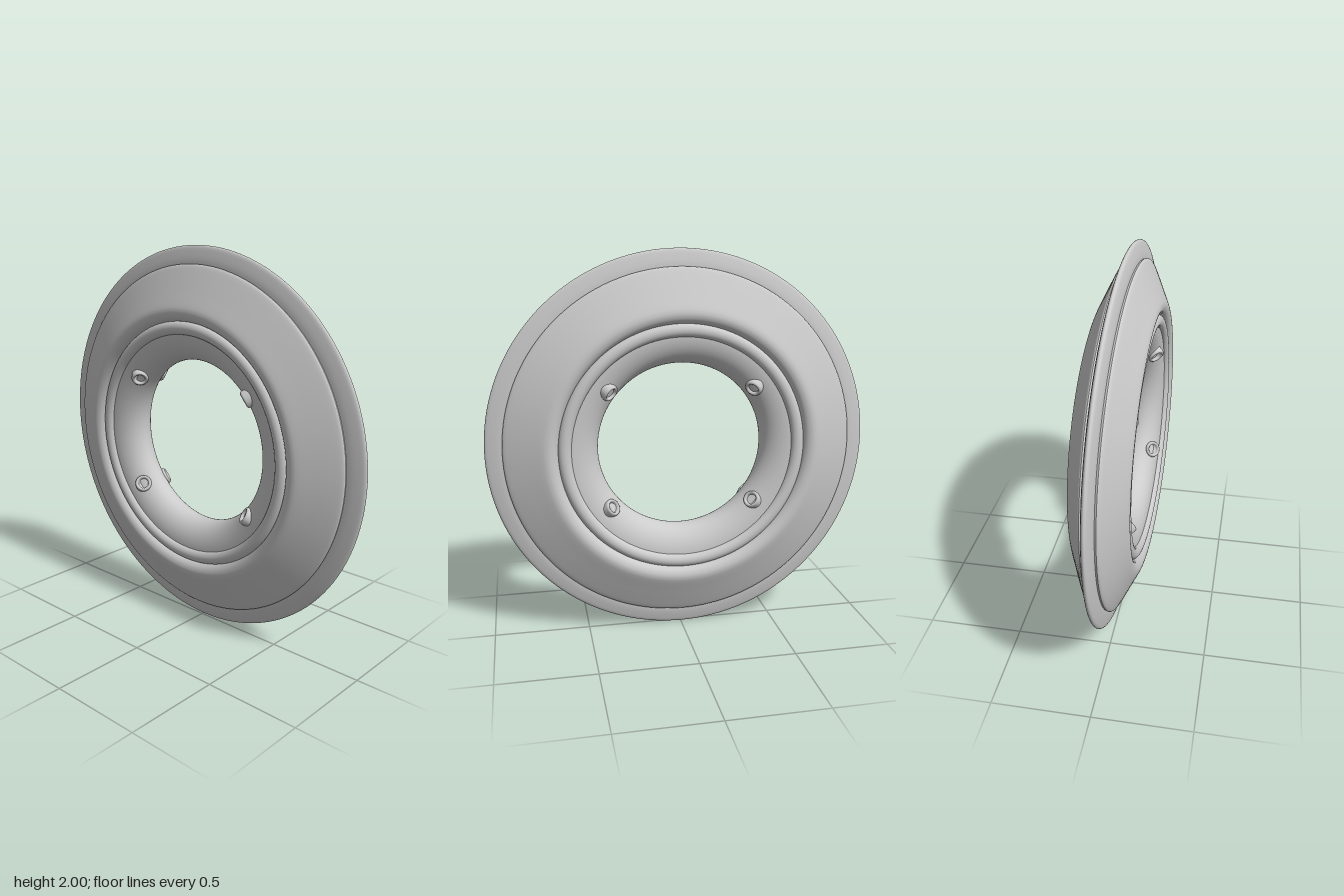
import * as THREE from 'three';

const material = new THREE.MeshStandardMaterial({ color: 0xcccccc });
const v2 = ([r, z]) => new THREE.Vector2(r, z);

// Revolve a profile of [radius, depth] points about the z axis
function revolve(name, points, samples = 0) {
  let profile = points.map(v2);
  if (samples) profile = new THREE.SplineCurve(profile).getPoints(samples);
  const geometry = new THREE.LatheGeometry(profile, 144).rotateX(Math.PI / 2);
  const mesh = new THREE.Mesh(geometry, material);
  mesh.name = name;
  return mesh;
}

// The same profile on the front and on the back
function bothSides(name, points, samples) {
  const group = new THREE.Group();
  group.name = name;
  const back = points.map(([r, z]) => [r, -z]).reverse();
  group.add(revolve(name + 'Front', points, samples), revolve(name + 'Back', back, samples));
  return group;
}

// Small round stud with a dished top, pointing along +y
function makeStud() {
  const profile = [
    [0.045, -0.04], [0.045, 0.02], [0.042, 0.028], [0.036, 0.031],
    [0.030, 0.028], [0.027, 0.020], [0.025, 0.008], [0, 0.006],
  ].map(v2);
  return new THREE.LatheGeometry(profile, 32);
}

export function createModel() {
  const group = new THREE.Group();
  group.name = 'ring';
  const ring = new THREE.Group();
  ring.name = 'tiltedRing';
  ring.position.y = 1;
  ring.rotation.set(0.015, -0.011, 0);
  group.add(ring);

  // Thin rounded flange round the outside
  ring.add(revolve('outerFlange', [
    [0.89, -0.03], [0.93, -0.027], [0.97, -0.018], [0.993, -0.01], [1, 0],
    [0.993, 0.01], [0.97, 0.018], [0.93, 0.027], [0.89, 0.03],
  ], 40));

  // Sloping shoulders, rolling over at the crest into the groove
  ring.add(bothSides('shoulderEdge', [[0.905, 0.02], [0.911, 0.038]]));
  ring.add(bothSides('shoulder', [
    [0.911, 0.038], [0.9, 0.05], [0.85, 0.075], [0.78, 0.108], [0.72, 0.136],
    [0.695, 0.144], [0.675, 0.144], [0.655, 0.136], [0.64, 0.12], [0.634, 0.1],
  ], 50));

  // Rounded bead round each mouth of the hole
  const bead = [];
  for (let i = 0; i <= 16; i++) {
    const a = Math.PI * i / 16;
    bead.push([0.604 + 0.034 * Math.cos(a), 0.105 + 0.03 * Math.sin(a)]);
  }
  ring.add(bothSides('mouthBead', bead));

  // Bulging wall of the hole
  const wall = [];
  for (let i = 0; i <= 32; i++) {
    const a = Math.PI * (i / 32 - 0.5);
    wall.push([0.58 - 0.15 * Math.cos(a), -0.112 * Math.sin(a)]);
  }
  ring.add(revolve('holeWall', wall));

  // Four studs on each side of the wall
  const studGeometry = makeStud();
  const up = new THREE.Vector3(0, 1, 0);
  for (const side of [1, -1]) for (const sx of [1, -1]) for (const sy of [1, -1]) {
    const stud = new THREE.Mesh(studGeometry, material);
    stud.name = 'stud';
    stud.position.set(sx * 0.38, sy * 0.307, side * 0.076);
    const normal = new THREE.Vector3(-sx * 0.6, -sy * 0.485, side * 0.63).normalize();
    stud.quaternion.setFromUnitVectors(up, normal);
    ring.add(stud);
  }
  return group;
}
